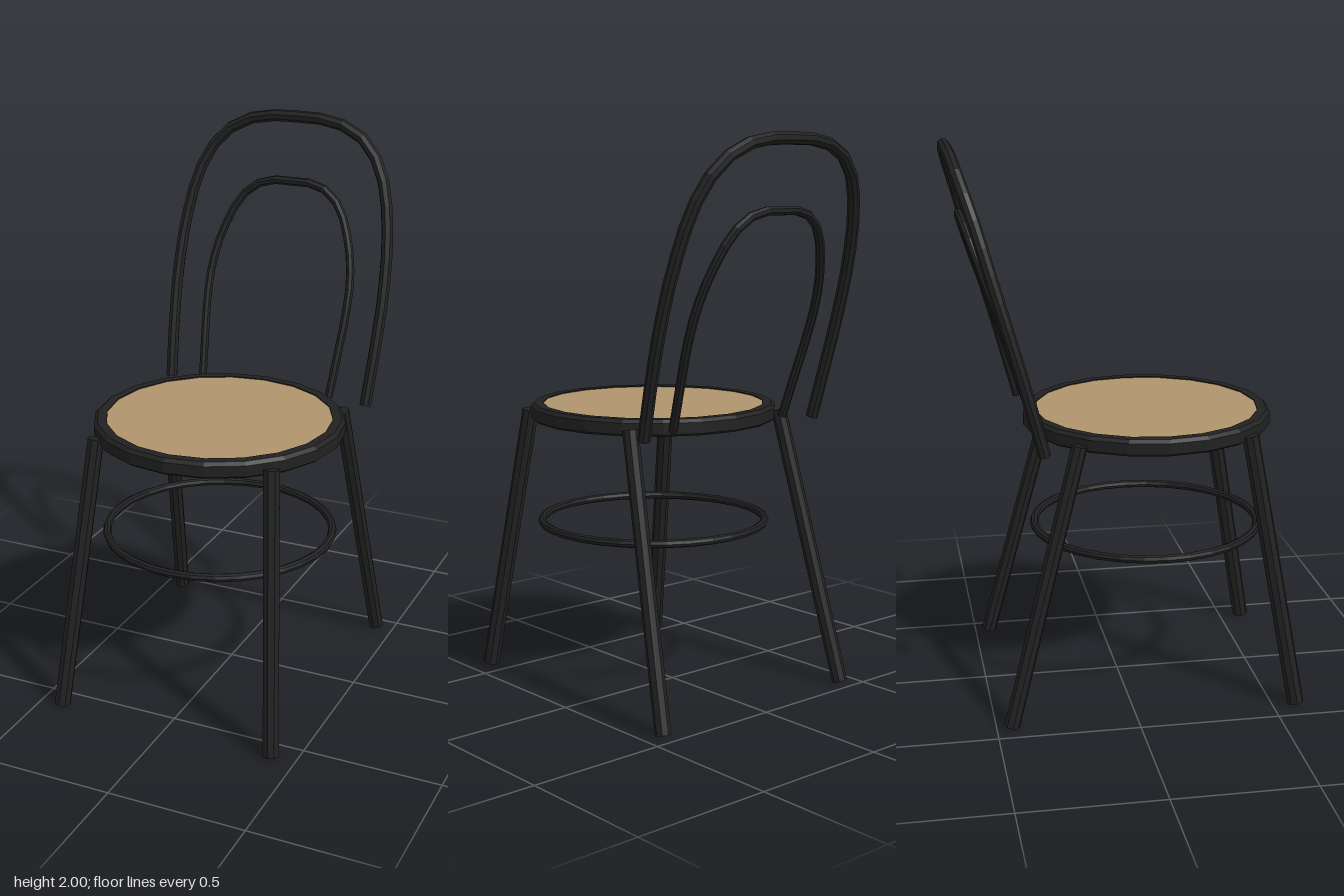
import * as THREE from 'three';

const wood = new THREE.MeshStandardMaterial({ color: 0x212121 });
wood.name = 'black wood';
const cane = new THREE.MeshStandardMaterial({ color: 0xb0956c });
cane.name = 'tan cane';

const SEAT_Z = 0.107;

// Gives every face its own normals for a faceted look
function faceted(geometry) {
  const g = geometry.index ? geometry.toNonIndexed() : geometry;
  g.computeVertexNormals();
  return g;
}

function addMesh(group, name, geometry, material) {
  const mesh = new THREE.Mesh(faceted(geometry), material);
  mesh.name = name;
  group.add(mesh);
  return mesh;
}

// Straight round leg between two points
function addLeg(group, name, top, bottom, radius) {
  const a = new THREE.Vector3(...bottom), b = new THREE.Vector3(...top);
  const dir = b.clone().sub(a);
  const leg = addMesh(group, name, new THREE.CylinderGeometry(radius, radius, dir.length(), 8), wood);
  leg.position.copy(a).add(b).multiplyScalar(0.5);
  leg.quaternion.setFromUnitVectors(new THREE.Vector3(0, 1, 0), dir.normalize());
}

// Bent hoop: the half on +x is mirrored, both ends are capped
function addHoop(group, name, half, radius) {
  const left = half.map((p) => new THREE.Vector3(...p));
  const right = half.slice(0, -1).reverse().map(([x, y, z]) => new THREE.Vector3(-x, y, z));
  const curve = new THREE.CatmullRomCurve3([...left, ...right]);
  const hoop = new THREE.Group();
  hoop.name = name;
  addMesh(hoop, name + 'Tube', new THREE.TubeGeometry(curve, 28, radius, 8, false), wood);
  for (const t of [0, 1]) {
    const cap = addMesh(hoop, name + 'End', new THREE.CircleGeometry(radius, 8), wood);
    const out = curve.getTangentAt(t).multiplyScalar(t ? 1 : -1);
    cap.position.copy(curve.getPointAt(t));
    cap.quaternion.setFromUnitVectors(new THREE.Vector3(0, 0, 1), out);
  }
  group.add(hoop);
}

export function createModel() {
  const chair = new THREE.Group();
  chair.name = 'chair';

  // Round seat frame with a softened rim and a solid underside
  const profile = [
    [0, 0.975], [0.44, 0.975], [0.45, 0.983], [0.45, 1.022],
    [0.438, 1.034], [0.405, 1.034], [0.405, 1.026],
  ].map(([r, y]) => new THREE.Vector2(r, y));
  addMesh(chair, 'seatFrame', new THREE.LatheGeometry(profile, 20), wood).position.z = SEAT_Z;

  // Woven panel
  const panel = addMesh(chair, 'seatPanel', new THREE.CircleGeometry(0.405, 20), cane);
  panel.rotation.x = -Math.PI / 2;
  panel.position.set(0, 1.03, SEAT_Z);

  // Splayed legs
  for (const [side, s] of [['left', 1], ['right', -1]]) {
    addLeg(chair, side + 'FrontLeg', [s * 0.333, 1.0, 0.415], [s * 0.412, 0.008, 0.585], 0.03);
    addLeg(chair, side + 'BackLeg', [s * 0.355, 1.0, -0.19], [s * 0.43, 0.008, -0.447], 0.028);
  }

  // Brace ring between the legs
  const ring = addMesh(chair, 'braceRing', new THREE.TorusGeometry(0.413, 0.015, 8, 32), wood);
  ring.rotation.x = Math.PI / 2;
  ring.position.set(0, 0.593, SEAT_Z);

  // Bent backrest hoops
  addHoop(chair, 'outerBackHoop', [
    [0.4, 0.985, -0.315], [0.413, 1.2, -0.372], [0.418, 1.4, -0.428], [0.405, 1.6, -0.485],
    [0.365, 1.78, -0.535], [0.29, 1.9, -0.572], [0.17, 1.965, -0.59], [0, 1.978, -0.595],
  ], 0.022);
  addHoop(chair, 'innerBackHoop', [
    [0.26, 1.0, -0.302], [0.272, 1.15, -0.35], [0.283, 1.3, -0.4], [0.28, 1.43, -0.445],
    [0.25, 1.56, -0.49], [0.19, 1.68, -0.53], [0.11, 1.735, -0.547], [0, 1.742, -0.55],
  ], 0.016);

  return chair;
}
